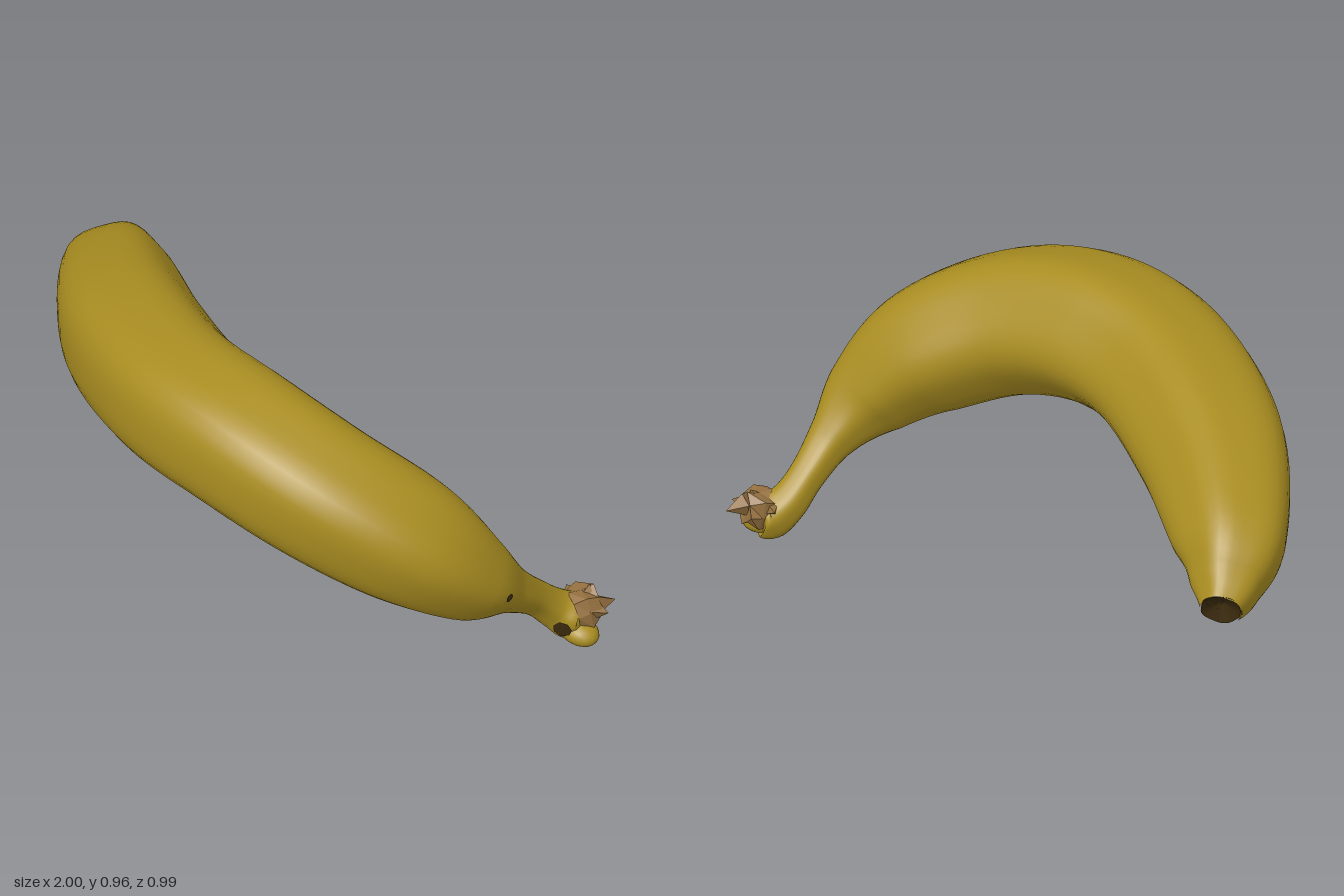
import * as THREE from 'three';

// normal of the plane the fruit bends in
const PLANE = new THREE.Vector3(0.18, 0.79, -0.59).normalize();

// Skin over rings along a curve; each row is [x, y, z, radius].
function sweep(rows, steps, sides, shape, flat = false) {
  const path = new THREE.CatmullRomCurve3(rows.map(r => new THREE.Vector3(r[0], r[1], r[2])), false, 'catmullrom', 0.5);
  const radii = new THREE.CatmullRomCurve3(rows.map(r => new THREE.Vector3(r[3], 0, 0)), false, 'catmullrom', 0.5);
  const n = (rows.length - 1) * steps;
  const pos = [], idx = [];
  for (let i = 0; i <= n; i++) {
    const c = path.getPoint(i / n), r = Math.max(radii.getPoint(i / n).x, 0.001);
    const t = path.getTangent(i / n);
    const out = new THREE.Vector3().crossVectors(t, PLANE).normalize();
    const up = new THREE.Vector3().crossVectors(out, t);
    for (let j = 0; j < sides; j++) {
      const a = j / sides * Math.PI * 2, k = r * shape(a, r, i, j);
      const p = c.clone().addScaledVector(out, k * Math.cos(a)).addScaledVector(up, k * Math.sin(a));
      pos.push(p.x, p.y, p.z);
    }
  }
  for (let i = 0; i < n; i++) for (let j = 0; j < sides; j++) {
    const a = i * sides + j, b = i * sides + (j + 1) % sides;
    idx.push(a, a + sides, b, b, a + sides, b + sides);
  }
  let g = new THREE.BufferGeometry();
  g.setAttribute('position', new THREE.Float32BufferAttribute(pos, 3));
  g.setIndex(idx);
  if (flat) g = g.toNonIndexed();
  g.computeVertexNormals();
  return g;
}

// soft five-sided section, slightly deeper along the bend where the fruit is thick
function peelSection(a, r) {
  const thick = THREE.MathUtils.smoothstep(r, 0.1, 0.2);
  return 1 + 0.036 * Math.cos(5 * (a - 0.05)) + 0.04 * thick * Math.cos(2 * (a + 0.3));
}

export function createModel() {
  const group = new THREE.Group();
  const material = (name, color, side = THREE.FrontSide) => {
    const m = new THREE.MeshStandardMaterial({ color, side });
    m.name = name;
    return m;
  };
  const yellow = material('peel yellow', 0xa98d21);
  const brown = material('dry stem brown', 0x94703f, THREE.DoubleSide);
  const dark = material('dark brown', 0x3c2b0e, THREE.DoubleSide);
  const add = (name, geometry, mat) => {
    const mesh = new THREE.Mesh(geometry, mat);
    mesh.name = name;
    group.add(mesh);
    return mesh;
  };

  // peel: body narrowing into the stem
  const body = add('peel', sweep([
    [-0.945, 0.483, -0.413, 0.062],
    [-0.90, 0.514, -0.335, 0.108],
    [-0.80, 0.584, -0.2, 0.171],
    [-0.51, 0.664, 0.045, 0.218],
    [-0.16, 0.724, 0.22, 0.225],
    [0.15, 0.734, 0.264, 0.227],
    [0.44, 0.665, 0.226, 0.222],
    [0.675, 0.533, 0.102, 0.203],
    [0.80, 0.385, -0.03, 0.143],
    [0.835, 0.277, -0.16, 0.077],
    [0.843, 0.188, -0.268, 0.056],
    [0.858, 0.118, -0.338, 0.061],
    [0.888, 0.08, -0.382, 0.073],
    [0.905, 0.08, -0.402, 0.06],
    [0.91, 0.08, -0.408, 0.001],
  ], 8, 40, peelSection), yellow);

  // swollen lip under the stem end
  const lip = add('stemLip', new THREE.IcosahedronGeometry(0.05, 3), yellow);
  lip.position.set(0.93, 0.042, -0.378);
  lip.rotation.z = -0.15;
  lip.scale.set(1.4, 0.8, 1.05);

  // ragged dry crown where the stem was torn off
  const jag = [1.12, 0.85, 1.0, 0.8, 1.15, 0.88, 1.05, 0.8];
  add('stemCrown', sweep([
    [0.9, 0.1, -0.382, 0.062],
    [0.918, 0.108, -0.418, 0.068],
    [0.935, 0.112, -0.452, 0.054],
    [0.928, 0.11, -0.438, 0.001],
  ], 1, 8, (a, r, i, j) => i === 0 ? 1 : jag[(j + i) % 8], true), brown);
  // torn tips, each from a base point to its end
  const tips = [
    [[0.955, 0.11, -0.42], [1.0, 0.11, -0.435]],
    [[0.945, 0.115, -0.44], [0.968, 0.11, -0.5]],
    [[0.915, 0.135, -0.425], [0.92, 0.178, -0.44]],
    [[0.87, 0.12, -0.41], [0.828, 0.13, -0.435]],
  ];
  for (const [from, to] of tips) {
    const a = new THREE.Vector3(...from), d = new THREE.Vector3(...to).sub(a);
    const tip = add('crownTip', new THREE.ConeGeometry(0.035, d.length(), 4).toNonIndexed(), brown);
    tip.geometry.computeVertexNormals();
    tip.position.copy(a).addScaledVector(d, 0.5);
    tip.quaternion.setFromUnitVectors(new THREE.Vector3(0, 1, 0), d.normalize());
  }

  // dark hollow inside the blossom end
  add('blossomHollow', sweep([
    [-0.928, 0.495, -0.386, 0.001],
    [-0.944, 0.484, -0.411, 0.063],
  ], 1, 40, peelSection, true), dark);

  // dark scuffs on the model's left side
  group.updateMatrixWorld(true);
  for (const [y, z, r] of [[0.355, -0.055, 0.015], [0.075, -0.318, 0.03]]) {
    const hit = new THREE.Raycaster(new THREE.Vector3(2, y, z), new THREE.Vector3(-1, 0, 0)).intersectObject(body)[0];
    if (!hit) continue;
    const scuff = add('scuff', new THREE.CircleGeometry(r, 7), dark);
    scuff.position.copy(hit.point).addScaledVector(hit.face.normal, 0.004);
    scuff.quaternion.setFromUnitVectors(new THREE.Vector3(0, 0, 1), hit.face.normal);
  }
  return group;
}
